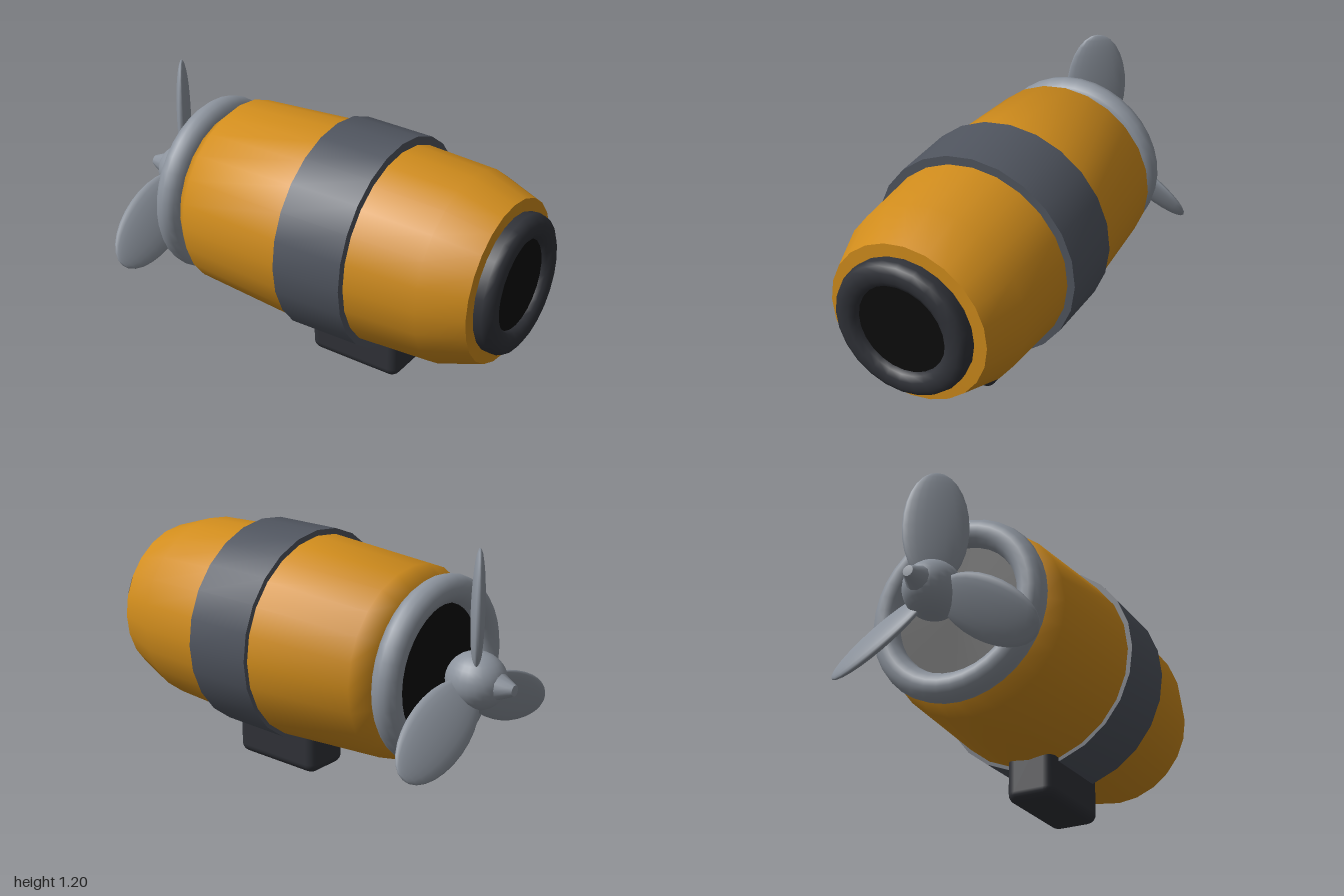
import * as THREE from 'three';
import { toCreasedNormals } from 'three/addons/utils/BufferGeometryUtils.js';
import { RoundedBoxGeometry } from 'three/addons/geometries/RoundedBoxGeometry.js';

const AXIS_Y = 0.637;
const paint = (color) => new THREE.MeshStandardMaterial({ color });

export function createModel() {
  const model = new THREE.Group();
  model.name = 'propellerEngine';

  const orange = paint(0xd08c1c);
  const slate = paint(0x50555f);
  const dark = paint(0x303238);
  const black = paint(0x0d0d0d);
  const steel = paint(0x8c939d);

  // Everything on the engine axis hangs in one group
  const engine = new THREE.Group();
  engine.name = 'engine';
  engine.position.y = AXIS_Y;
  model.add(engine);

  const add = (parent, name, geometry, material) => {
    const mesh = new THREE.Mesh(geometry, material);
    mesh.name = name;
    parent.add(mesh);
    return mesh;
  };

  // Turns a profile of [x, radius] pairs around the x axis
  const turned = (profile, segments = 24, crease = 0.6) => {
    const points = profile.map(([x, r]) => new THREE.Vector2(r, x));
    const geometry = new THREE.LatheGeometry(points, segments);
    geometry.rotateZ(-Math.PI / 2);
    return toCreasedNormals(geometry, crease);
  };

  // Barrel-shaped cowling
  add(engine, 'cowling', turned([
    [-0.56, 0.25], [-0.545, 0.365], [-0.475, 0.43], [0.05, 0.463],
    [0.385, 0.446], [0.72, 0.43], [0.92, 0.363], [0.925, 0.22],
  ], 24, 0.85), orange);

  // Broad strap around the middle
  const band = add(engine, 'band', turned([
    [0.055, 0.43], [0.055, 0.484], [0.385, 0.48], [0.385, 0.43],
  ]), slate);
  band.position.y = 0.005;

  // Intake lip and its dark opening
  const lip = new THREE.TorusGeometry(0.35, 0.0625, 14, 36);
  lip.rotateY(Math.PI / 2);
  add(engine, 'intakeLip', lip, steel).position.x = -0.6125;
  const intake = new THREE.CircleGeometry(0.33, 32);
  intake.rotateY(-Math.PI / 2);
  add(engine, 'intakeOpening', intake, black).position.x = -0.61;

  // Exhaust ring and its dark opening
  add(engine, 'exhaustRing', turned([
    [0.9, 0.305], [0.96, 0.31], [0.985, 0.3], [1, 0.275],
    [1, 0.235], [0.985, 0.21], [0.96, 0.2], [0.9, 0.2],
  ], 24, 1), dark);
  const exhaust = new THREE.CircleGeometry(0.215, 24);
  exhaust.rotateY(Math.PI / 2);
  add(engine, 'exhaustOpening', exhaust, black).position.x = 0.965;

  // Propeller: hub, pointed tip and three pitched blades
  const propeller = new THREE.Group();
  propeller.name = 'propeller';
  propeller.position.x = -0.81;
  engine.add(propeller);
  const hub = add(propeller, 'hub', new THREE.SphereGeometry(0.125, 24, 16), steel);
  hub.scale.x = 1.08;
  add(propeller, 'hubTip', turned([
    [-0.19, 0], [-0.188, 0.024], [-0.17, 0.033], [-0.1, 0.065],
  ], 12, 0.8), steel);

  const blade = new THREE.SphereGeometry(1, 20, 14);
  blade.scale(0.03, 0.268, 0.14);
  blade.rotateY(0.61);
  blade.translate(0.005, 0.295, 0);
  for (let i = 0; i < 3; i++) {
    add(propeller, 'blade' + (i + 1), blade, steel).rotation.x = (i * Math.PI * 2) / 3;
  }

  // Mounting foot under the strap
  const foot = add(model, 'mountingFoot', new RoundedBoxGeometry(0.46, 0.34, 0.23, 3, 0.045), dark);
  foot.position.set(0.22, 0.17, 0);

  return model;
}
